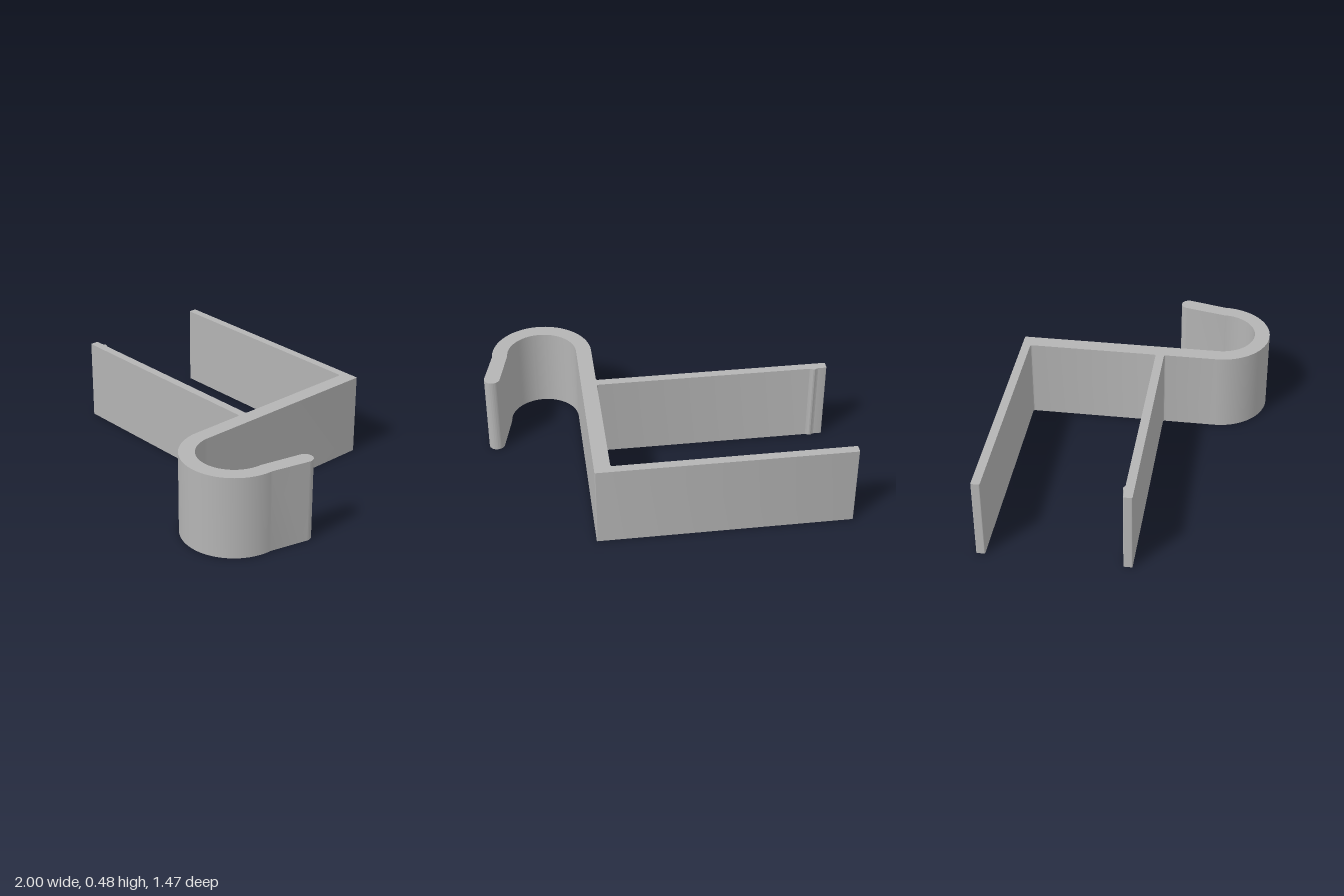
import * as THREE from 'three';
import { toCreasedNormals } from 'three/addons/utils/BufferGeometryUtils.js';

const HEIGHT = 0.48;

// Plan outline of the bracket; shape x, y become model x, z
function bracketOutline() {
  const s = new THREE.Shape();
  const inner = 0.355, outer = 0.445; // faces of the spine
  const f = 0.014, c = 0.006; // inside fillet, small edge rounding
  const hook = { x: 0.65, z: 0.44, r: 0.25, half: 0.045 };
  const tip = { x: 0.954, z: 0.212, r: 0.046 };
  const lean = Math.atan2(tip.z - hook.z, tip.x - hook.x - hook.r);

  // Back arm outside and spine outside
  s.moveTo(-1 + c, -0.735);
  s.lineTo(outer - c, -0.735);
  s.quadraticCurveTo(outer, -0.735, outer, -0.735 + c);
  s.lineTo(outer, hook.z);

  // Inside of hook, rounded tip, outside of hook
  s.absarc(hook.x, hook.z, hook.r - hook.half, Math.PI, 0, true);
  s.absarc(tip.x, tip.z, tip.r, lean - Math.PI / 2, lean + Math.PI / 2, false);
  s.absarc(hook.x, hook.z, hook.r + hook.half, 0, Math.PI, false);

  // Front arm with its small snap ridge
  s.lineTo(inner, 0.125 + f);
  s.quadraticCurveTo(inner, 0.125, inner - f, 0.125);
  s.lineTo(-1 + c, 0.125);
  s.quadraticCurveTo(-1, 0.125, -1, 0.125 - c);
  s.lineTo(-1, 0.075 + c);
  s.quadraticCurveTo(-1, 0.075, -1 + c, 0.075);
  s.lineTo(-0.955, 0.075);
  s.bezierCurveTo(-0.938, 0.075, -0.938, 0.064, -0.925, 0.064);
  s.bezierCurveTo(-0.912, 0.064, -0.912, 0.075, -0.895, 0.075);
  s.lineTo(inner - f, 0.075);
  s.quadraticCurveTo(inner, 0.075, inner, 0.075 - f);

  // Spine inside and back arm inside
  s.lineTo(inner, -0.685 + f);
  s.quadraticCurveTo(inner, -0.685, inner - f, -0.685);
  s.lineTo(-1 + c, -0.685);
  s.quadraticCurveTo(-1, -0.685, -1, -0.685 - c);
  s.lineTo(-1, -0.735 + c);
  s.quadraticCurveTo(-1, -0.735, -1 + c, -0.735);
  return s;
}

export function createModel() {
  const group = new THREE.Group();
  group.name = 'hookBracket';
  const grey = new THREE.MeshStandardMaterial({ color: 0xb4b4b4 });
  grey.name = 'grey';

  // The whole bracket is one upright extrusion
  let geometry = new THREE.ExtrudeGeometry(bracketOutline(), {
    depth: HEIGHT, bevelEnabled: false, curveSegments: 32,
  });
  geometry.rotateX(Math.PI / 2);
  geometry.translate(0, HEIGHT, 0);
  geometry = toCreasedNormals(geometry, 0.4);

  const bracket = new THREE.Mesh(geometry, grey);
  bracket.name = 'bracket';
  group.add(bracket);
  return group;
}
